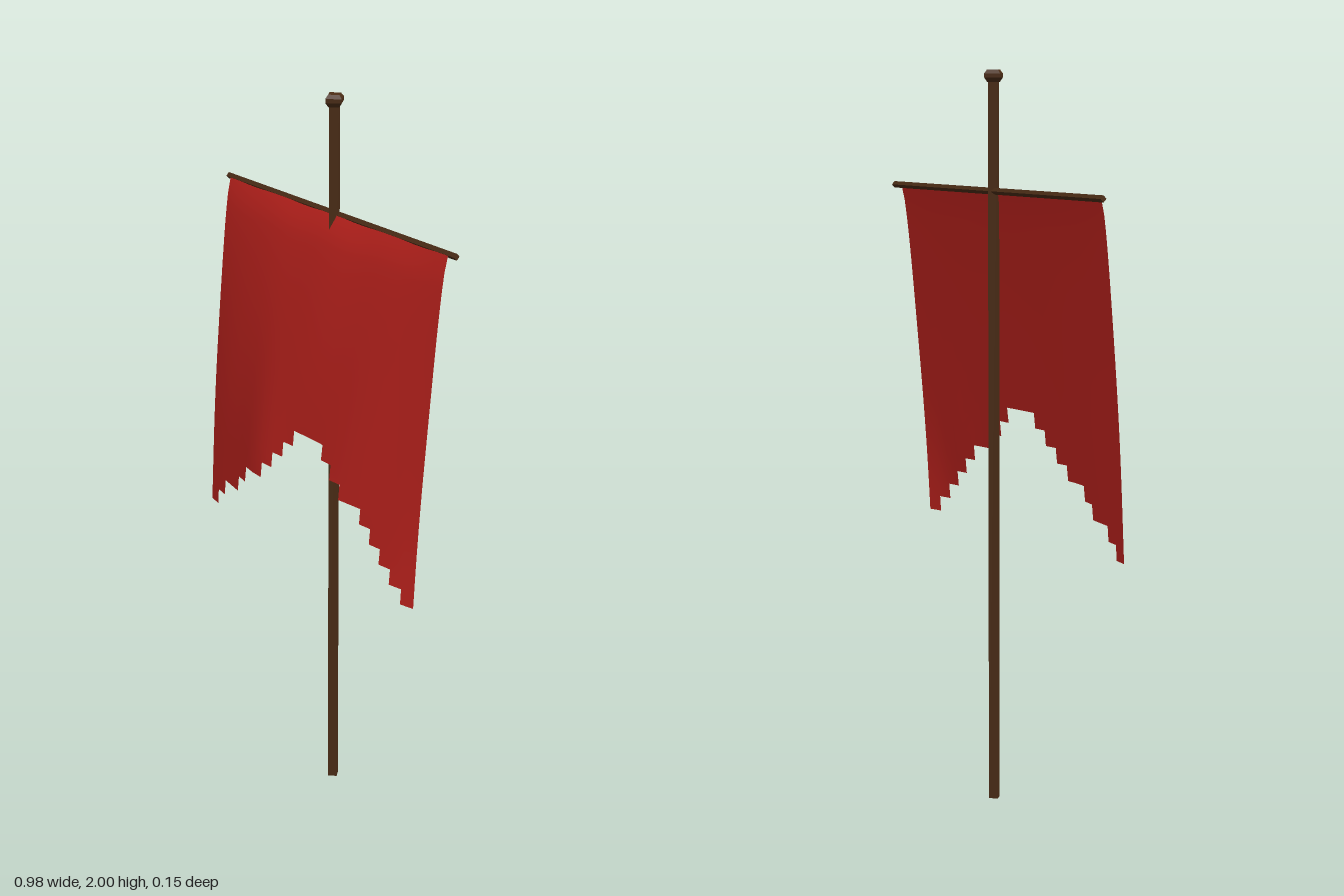
import * as THREE from 'three';

const POLE_Z = -0.05;

function add(group, name, geometry, material) {
  const mesh = new THREE.Mesh(geometry, material);
  mesh.name = name;
  group.add(mesh);
  return mesh;
}

// Hanging cloth: a grid of cells, each column cut off after its own number of rows
function clothGeometry() {
  const rowsPerColumn = [22, 21, 20, 20, 19, 18, 18, 17, 16, 15, 14, 14, 14, 15, 16, 17, 17, 18, 19, 20, 21, 22];
  const n = rowsPerColumn.length;
  const top = 1.68, height = 0.945, halfWidth = 0.47;
  const positions = [], index = [];

  for (let r = 0; r <= n; r++) {
    for (let c = 0; c <= n; c++) {
      const t = r / n, u = (c / n) * 2 - 1;
      // the middle billows forward more than the side edges
      const billow = 0.088 + 0.048 * (1 - u * u)
        + 0.012 * Math.exp(-Math.pow((u + 0.4) / 0.18, 2)) * t
        + 0.002 * Math.sin(u * 9 + t * 7);
      const x = u * (halfWidth - 0.006 * t) - 0.002;
      const y = top - height * t - 0.003 * (1 - t) * Math.pow(Math.sin(u * Math.PI * 2), 2);
      positions.push(x, y, -0.047 + billow * Math.pow(t, 0.7));
    }
  }
  for (let c = 0; c < n; c++) {
    for (let r = 0; r < rowsPerColumn[c]; r++) {
      const a = r * (n + 1) + c, b = a + n + 1;
      index.push(a, b, b + 1, a, b + 1, a + 1);
    }
  }
  const geometry = new THREE.BufferGeometry();
  geometry.setAttribute('position', new THREE.Float32BufferAttribute(positions, 3));
  geometry.setIndex(index);
  geometry.computeVertexNormals();
  return geometry;
}

export function createModel() {
  const group = new THREE.Group();
  group.name = 'banner';
  const wood = new THREE.MeshStandardMaterial({ color: 0x4d2e17, flatShading: true });
  const red = new THREE.MeshStandardMaterial({ color: 0xdd2a24, side: THREE.DoubleSide });

  // Four-sided pole with an edge facing forward
  const pole = add(group, 'pole', new THREE.CylinderGeometry(0.018, 0.018, 1.975, 4), wood);
  pole.position.set(0, 1.975 / 2, POLE_Z);

  // Chamfered knob on top of the pole
  const profile = [[0, 1.967], [0.02, 1.967], [0.03, 1.979], [0.03, 1.99], [0.021, 2], [0, 2]]
    .map(([x, y]) => new THREE.Vector2(x, y));
  const knob = add(group, 'knob', new THREE.LatheGeometry(profile, 4), wood);
  knob.position.z = POLE_Z;

  // Thin crossbar carrying the cloth
  const bar = add(group, 'crossbar', new THREE.CylinderGeometry(0.009, 0.009, 0.984, 4), wood);
  bar.rotation.z = Math.PI / 2;
  bar.position.set(0, 1.68, -0.055);

  add(group, 'cloth', clothGeometry(), red);
  return group;
}
